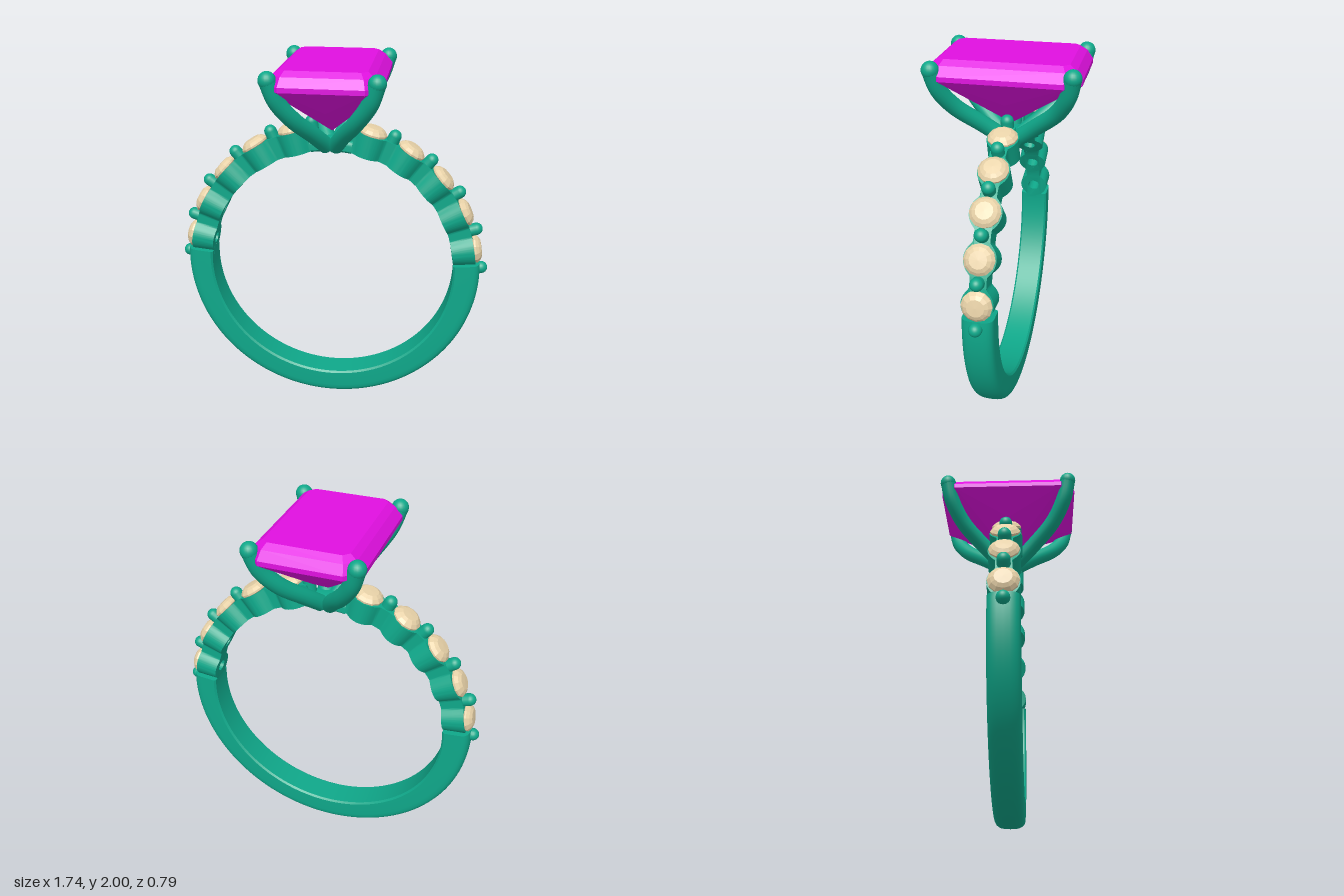
import * as THREE from 'three';
import { toCreasedNormals } from 'three/addons/utils/BufferGeometryUtils.js';
import { ConvexGeometry } from 'three/addons/geometries/ConvexGeometry.js';

const rad = THREE.MathUtils.degToRad;
const CENTRE_Y = 0.835, INNER = 0.685, OUTER = 0.832, HALF = 0.08;
const STEP = 16, FIRST = 10.4, STONES = 5;

const metal = new THREE.MeshStandardMaterial({ color: 0x0fa88a, side: THREE.DoubleSide });
const gem = new THREE.MeshStandardMaterial({ color: 0xe010e0, flatShading: true });
const pale = new THREE.MeshStandardMaterial({ color: 0xe8d2a8, flatShading: true });

function add(parent, name, geometry, material) {
  const mesh = new THREE.Mesh(geometry, material);
  mesh.name = name;
  parent.add(mesh);
  return mesh;
}

// Sweep a (radius, z) section about the z axis; angle 0 is the bottom of the ring
function sweep(section, from, to, steps) {
  const g = new THREE.LatheGeometry([...section, section[0]], steps, rad(from), rad(to - from));
  g.rotateX(Math.PI / 2);
  return toCreasedNormals(g, 0.6);
}

// Flat inside, softly rounded outside
function bandSection(outer, half, round) {
  const pts = [new THREE.Vector2(INNER, half - 0.01), new THREE.Vector2(INNER, -half + 0.01),
    new THREE.Vector2(INNER + 0.01, -half)];
  for (let i = 0; i <= 12; i++) {
    const a = -Math.PI / 2 + Math.PI * i / 12;
    const s = Math.sin(a), c = Math.max(0, Math.cos(a));
    pts.push(new THREE.Vector2(outer - round + round * Math.pow(c, 0.7),
      half * Math.sign(s) * Math.pow(Math.abs(s), 0.7)));
  }
  pts.push(new THREE.Vector2(INNER + 0.01, half));
  return pts;
}

// One scalloped setting with a through hole, bent round the ring; radial direction is +y
function settingGeometry() {
  const R = 0.75, L = rad(STEP / 2 + 0.1) * R, n = 40, top = [];
  for (let i = 0; i <= n; i++) {
    const u = -L + 2 * L * i / n;
    const w = Math.sqrt(Math.max(0, HALF * HALF - u * u));
    top.push(new THREE.Vector2(u, Math.pow(w ** 4 + 0.042 ** 4, 0.25)));
  }
  const shape = new THREE.Shape([...top.map(p => new THREE.Vector2(p.x, -p.y)), ...top.slice().reverse()]);
  const hole = new THREE.Path();
  hole.absarc(0, 0, 0.034, 0, Math.PI * 2, true);
  shape.holes.push(hole);
  const g = new THREE.ExtrudeGeometry(shape, { depth: 0.122, steps: 2, bevelEnabled: false, curveSegments: 16 });
  const p = g.attributes.position;
  for (let i = 0; i < p.count; i++) {
    const t = p.getX(i) / R, r = INNER + p.getZ(i);
    p.setXYZ(i, r * Math.sin(t), r * Math.cos(t), -p.getY(i));
  }
  return toCreasedNormals(g, 0.6);
}

// Oblong centre stone as a convex hull of its facet corners
function centreStoneGeometry() {
  const pts = [new THREE.Vector3(0, 1.62, 0)];
  const octagon = (x, z, cut, y) => {
    for (const sx of [-1, 1]) for (const sz of [-1, 1]) {
      pts.push(new THREE.Vector3(sx * (x - cut), y, sz * z), new THREE.Vector3(sx * x, y, sz * (z - cut)));
    }
  };
  octagon(0.215, 0.325, 0.03, 2);
  octagon(0.25, 0.36, 0.05, 1.975);
  octagon(0.29, 0.39, 0.08, 1.93);
  octagon(0.29, 0.39, 0.08, 1.905);
  for (const s of [-1, 1]) {
    pts.push(new THREE.Vector3(0, 1.77, s * 0.235), new THREE.Vector3(s * 0.175, 1.77, 0));
  }
  return new ConvexGeometry(pts);
}

export function createModel() {
  const model = new THREE.Group();
  model.name = 'ring';
  const band = new THREE.Group();
  band.name = 'band';
  band.position.y = CENTRE_Y;
  model.add(band);

  // Plain lower shank with closed ends
  const section = bandSection(OUTER, HALF, 0.055);
  add(band, 'shank', sweep(section, -95, 95, 96), metal);
  for (const side of [0, 1]) {
    const cap = add(band, 'shankEnd', new THREE.ShapeGeometry(new THREE.Shape(section)), metal);
    // Section x runs radially and section y runs along z
    cap.geometry.rotateX(Math.PI / 2);
    cap.rotation.z = side ? Math.PI - rad(5) : rad(5);
  }
  // Bridge under the centre stone
  add(band, 'headBridge', sweep(bandSection(0.755, 0.06, 0.03), 171, 189, 12), metal);

  // Scalloped shoulders: settings, small stones and the beads between them
  const setting = settingGeometry();
  const bead = new THREE.CapsuleGeometry(0.034, 0.12, 8, 20);
  const small = new THREE.LatheGeometry([[0, 0.75], [0.078, 0.808], [0.079, 0.818], [0.064, 0.834],
    [0.045, 0.845], [0, 0.847]].map(([r, y]) => new THREE.Vector2(r, y)), 12);
  for (const side of [-1, 1]) {
    const shoulder = new THREE.Group();
    shoulder.name = side > 0 ? 'leftShoulder' : 'rightShoulder';
    band.add(shoulder);
    const turn = angle => -side * rad(90 - angle);
    for (let i = 0; i <= STONES; i++) {
      const a = FIRST + STEP * i;
      const holder = new THREE.Group();
      holder.name = 'beadHolder';
      holder.rotation.z = turn(a - STEP / 2);
      shoulder.add(holder);
      add(holder, 'bead', bead, metal).position.y = 0.779;
      if (i === STONES) break;
      add(shoulder, 'setting', setting, metal).rotation.z = turn(a);
      add(shoulder, 'smallStone', small, pale).rotation.z = turn(a);
    }
  }

  // Centre stone and its four curved claws
  const head = new THREE.Group();
  head.name = 'head';
  model.add(head);
  add(head, 'centreStone', centreStoneGeometry(), gem);
  for (const sx of [-1, 1]) for (const sz of [-1, 1]) {
    const path = new THREE.CatmullRomCurve3([[0.025, 1.55, 0.045], [0.075, 1.63, 0.14], [0.16, 1.74, 0.26],
      [0.23, 1.85, 0.325], [0.265, 1.955, 0.35]].map(([x, y, z]) => new THREE.Vector3(sx * x, y, sz * z)));
    add(head, 'claw', new THREE.TubeGeometry(path, 32, 0.044, 16), metal);
    for (const t of [0, 1]) {
      const tip = add(head, t ? 'clawTip' : 'clawFoot', new THREE.SphereGeometry(t ? 0.045 : 0.043, 20, 14), metal);
      tip.position.copy(path.getPoint(t));
      if (!t) tip.scale.y = 0.75;
    }
  }
  return model;
}
